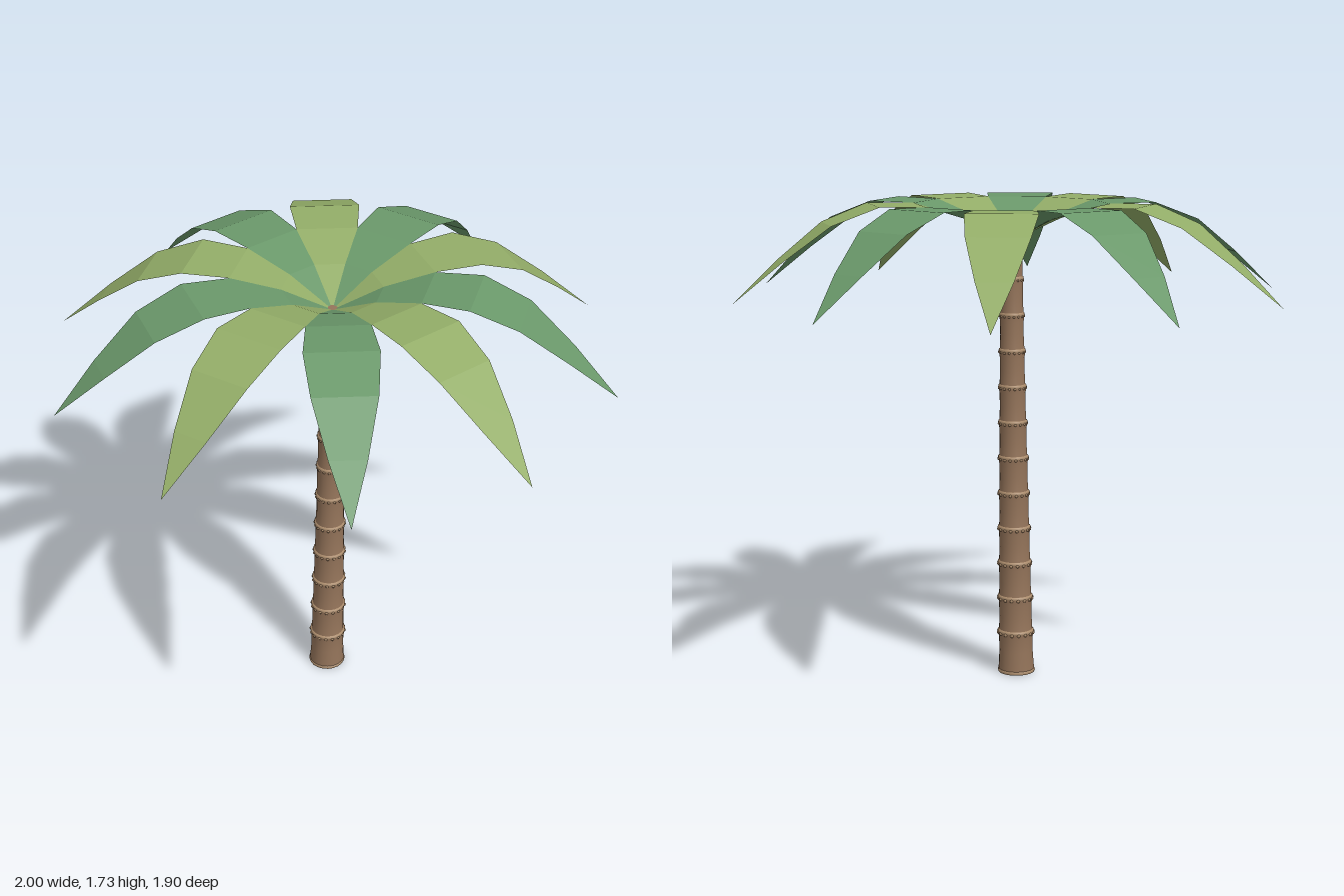
import * as THREE from 'three';
import { mergeGeometries } from 'three/addons/utils/BufferGeometryUtils.js';

const mat = (name, color, side = THREE.FrontSide) => {
  const m = new THREE.MeshStandardMaterial({ color, side });
  m.name = name;
  return m;
};

const TOP = 1.6;
const radius = (y) => 0.066 - 0.027 * (y / TOP);
const lean = (y) => -0.035 * Math.pow(Math.max(0, 1 - y / TOP), 1.4);

// Shift every vertex sideways so the trunk curves gently
function bend(geo) {
  const p = geo.attributes.position;
  for (let i = 0; i < p.count; i++) p.setX(i, p.getX(i) + lean(p.getY(i)));
  return geo;
}

const lathe = (points) =>
  bend(new THREE.LatheGeometry(points.map(([r, y]) => new THREE.Vector2(r, y)), 20));

// One flat-faceted frond along +x: rises, arches over and droops to a point
function frondGeometry() {
  const heights = [1.592, 1.676, 1.727, 1.73, 1.667, 1.54, 1.395];
  const geo = new THREE.PlaneGeometry(1, 2, 6, 1).rotateX(-Math.PI / 2);
  const p = geo.attributes.position;
  for (let i = 0; i < p.count; i++) {
    const t = p.getX(i) + 0.5;
    const half = 0.125 * Math.sin(Math.PI * t);
    p.setXYZ(i, t, heights[Math.round(t * 6)], Math.sign(p.getZ(i)) * half);
  }
  const flat = geo.toNonIndexed();
  flat.computeVertexNormals();
  return flat;
}

export function createModel() {
  const model = new THREE.Group();
  model.name = 'palmTree';
  const bark = mat('bark', 0x94745a);
  const tan = mat('ringTan', 0xab8c6c);
  const greens = [
    mat('lightFrondGreen', 0x93ad68, THREE.DoubleSide),
    mat('darkFrondGreen', 0x6a986a, THREE.DoubleSide),
  ];
  const add = (parent, name, geo, material) => {
    const mesh = new THREE.Mesh(geo, material);
    mesh.name = name;
    parent.add(mesh);
    return mesh;
  };

  // Trunk: stacked segments, each flaring out below its ring
  const trunk = new THREE.Group();
  trunk.name = 'trunk';
  model.add(trunk);
  const ringHeights = Array.from({ length: 11 }, (_, k) => 0.15 + 0.1305 * k);
  const profile = [[radius(0), 0.01]];
  for (const y of ringHeights) {
    const r = radius(y);
    profile.push([r * 0.97, y - 0.07], [r * 0.98, y - 0.02], [r * 1.03, y - 0.004],
      [r * 1.03, y + 0.006], [r * 0.97, y + 0.012]);
  }
  profile.push([radius(TOP), TOP]);
  add(trunk, 'trunkBark', lathe(profile), bark);
  const cap = new THREE.CircleGeometry(radius(TOP), 20).rotateX(-Math.PI / 2);
  add(trunk, 'trunkTop', cap.translate(0, TOP, 0), bark);

  // Base lip and underside
  add(trunk, 'baseLip', lathe([[0.067, 0], [0.069, 0.006], [0.067, 0.012], [0.06, 0.014]]), tan);
  const underside = new THREE.CircleGeometry(0.067, 20).rotateX(Math.PI / 2);
  add(trunk, 'baseUnderside', underside.translate(lean(0), 0, 0), tan);

  // Rings with a row of small knobs
  const knobCount = 16;
  for (const y of ringHeights) {
    const r = radius(y);
    const parts = [lathe([[r * 1.02, y], [r * 1.06, y + 0.003], [r * 1.05, y + 0.01], [r * 0.95, y + 0.013]])];
    for (let i = 0; i < knobCount; i++) {
      const a = (i / knobCount) * Math.PI * 2;
      const knob = new THREE.SphereGeometry(r * 0.11, 6, 4);
      knob.translate(r * 1.01 * Math.cos(a) + lean(y), y - 0.001, r * 1.01 * Math.sin(a));
      parts.push(knob);
    }
    add(trunk, 'trunkRing', mergeGeometries(parts), tan);
  }

  // Crown: ten fronds in alternating greens
  const crown = new THREE.Group();
  crown.name = 'crown';
  model.add(crown);
  const frond = frondGeometry();
  for (let i = 0; i < 10; i++) {
    add(crown, 'frond', frond, greens[i % 2]).rotation.y = (i * Math.PI) / 5;
  }
  return model;
}
